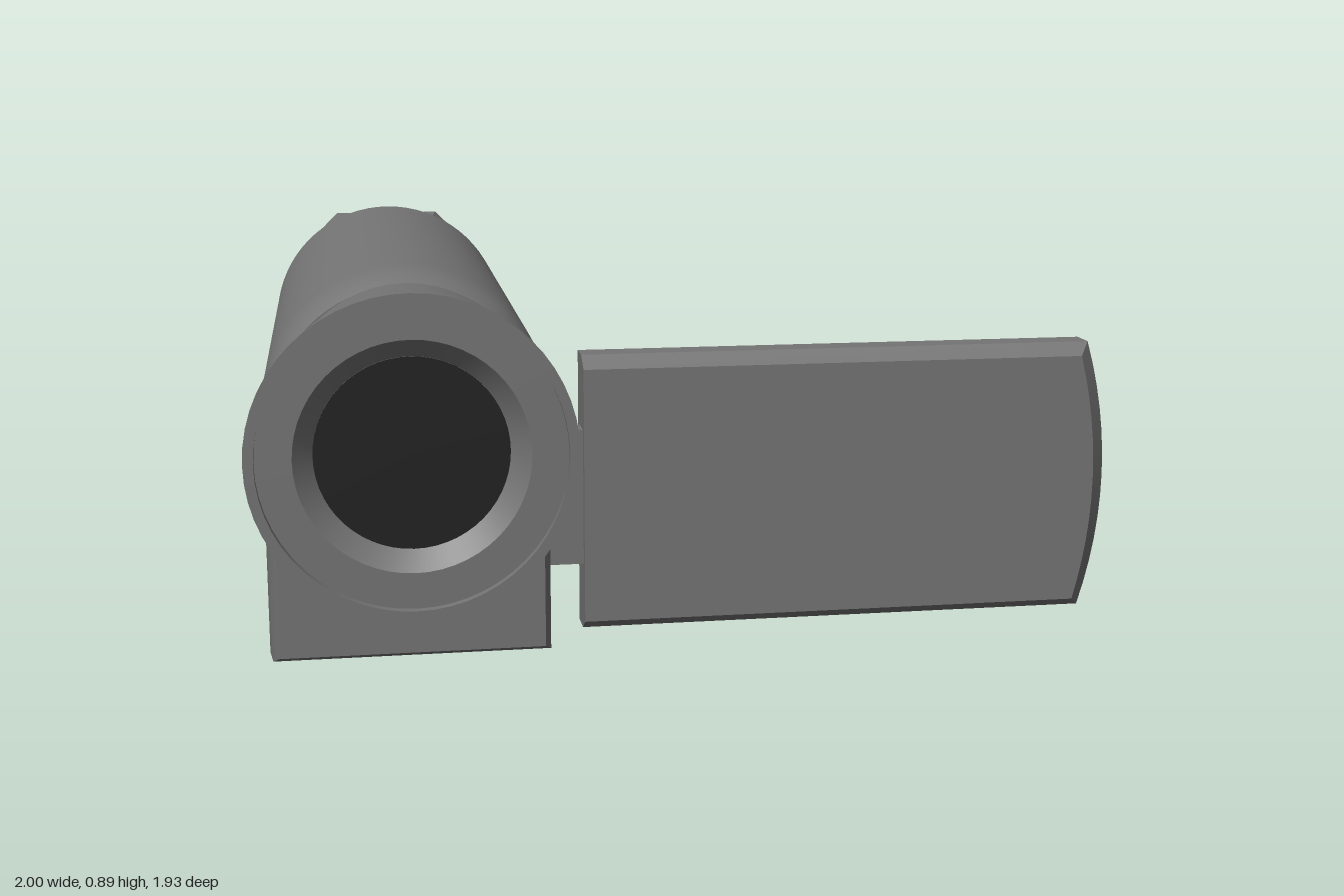
import * as THREE from 'three';
import { toCreasedNormals } from 'three/addons/utils/BufferGeometryUtils.js';

const CX = -0.65; // centre line of the camera body

const shell = new THREE.MeshStandardMaterial({ color: 0x747474 });
shell.name = 'greyShell';
const black = new THREE.MeshStandardMaterial({ color: 0x202020 });
black.name = 'blackGlass';

// Closed loop: right half from bottom to top, then left half from top to bottom
const loop = (right, left) => [...right, ...left.slice().reverse()];
const mirrorLoop = (right) => loop(right, right.map(([x, y, z]) => [2 * CX - x, y, z]));

// Skin over loops ordered front to back, with optional end caps
function loft(rings, capFront, capBack) {
  const m = rings[0].length, idx = [];
  for (let r = 0; r + 1 < rings.length; r++) {
    for (let k = 0; k < m; k++) {
      const a = r * m + k, b = r * m + (k + 1) % m;
      idx.push(a, a + m, b, b, a + m, b + m);
    }
  }
  const cap = (o, flip) => {
    for (let k = 0; k + 1 < m / 2; k++) {
      const R = o + k, L = o + m - 1 - k;
      if (flip) idx.push(R, L, R + 1, R + 1, L, L - 1);
      else idx.push(R, R + 1, L, R + 1, L - 1, L);
    }
  };
  if (capFront) cap(0, false);
  if (capBack) cap((rings.length - 1) * m, true);
  const g = new THREE.BufferGeometry();
  g.setAttribute('position', new THREE.Float32BufferAttribute(rings.flat(2), 3));
  g.setIndex(idx);
  return toCreasedNormals(g, 0.42);
}

function add(group, name, geometry, material, x = 0, y = 0, z = 0) {
  const mesh = new THREE.Mesh(geometry, material);
  mesh.name = name;
  mesh.position.set(x, y, z);
  group.add(mesh);
  return mesh;
}

// Body cross-section: flat bottom, straight sides, round top, optional side recess
function bodyRing(inset, zOf, recessed) {
  const R = 0.325, cy = 0.565, lo = 0.07, hi = 0.68, floorX = CX + 0.297;
  const r = R - inset, t = Math.asin((hi - cy) / R);
  const pts = [];
  const put = (x, y, cut) => pts.push([CX + x, y, cut]);
  put(r, inset);
  put(r, lo);
  for (const y of [lo, 0.12, 0.18, 0.24, 0.3, 0.36, 0.42, 0.5]) put(r, y, true);
  for (let i = 0; i <= 4; i++) put(r * Math.cos(t * i / 4), cy + r * Math.sin(t * i / 4), true);
  for (let i = 0; i <= 14; i++) {
    const a = t + (Math.PI / 2 - t) * i / 14;
    put(r * Math.cos(a), cy + r * Math.sin(a));
  }
  const left = pts.map(([x, y]) => [2 * CX - x, y, zOf(y)]);
  const right = pts.map(([x, y, cut]) => [recessed && cut ? floorX : x, y, zOf(y)]);
  return loop(right, left);
}

function buildBody() {
  const at = (z) => () => z;
  // The back leans forward towards the bottom
  const back = (y) => -0.84 + 0.115 * Math.pow(Math.max(0, 0.42 - y) / 0.42, 1.8);
  return loft([
    bodyRing(0.025, at(0.69)),
    bodyRing(0.01, at(0.66)),
    bodyRing(0, at(0.56)),
    bodyRing(0, at(0.54)),
    bodyRing(0, at(0.54), true),
    bodyRing(0, at(-0.62), true),
    bodyRing(0, at(-0.62)),
    bodyRing(0, (y) => back(y) + 0.03),
    bodyRing(0.03, back),
  ], true, true);
}

function buildLens() {
  const ring = ([rx, ry, z]) => {
    const half = [];
    for (let i = 0; i <= 28; i++) {
      const a = -Math.PI / 2 + Math.PI * i / 28;
      half.push([CX + rx * Math.cos(a), 0.535 + ry * Math.sin(a), z]);
    }
    return mirrorLoop(half);
  };
  return loft([
    [0.208, 0.208, 0.9], [0.25, 0.25, 0.945], [0.328, 0.328, 0.945],
    [0.328, 0.328, 0.965], [0.35, 0.35, 0.965], [0.297, 0.333, 0.685],
  ].map(ring), true, true);
}

// Rectangle whose right end may bulge outwards
function panelRing(x0, x1, y0, y1, bulge, z) {
  const right = [], left = [];
  for (let i = 0; i <= 12; i++) {
    const u = i / 6 - 1, y = y0 + (y1 - y0) * i / 12;
    right.push([x1 + bulge * (1 - u * u), y, z]);
    left.push([x0, y, z]);
  }
  return loop(right, left);
}

function buildEyepiece(group) {
  const cy = 0.717, slope = 0.09;
  const ring = (w, h, c, z, tilt = slope) => mirrorLoop(
    [[w - c, -h], [w, c - h], [w, h - c], [w - c, h]].map(([x, y]) => [CX + x, cy + y, z + tilt * y]));
  add(group, 'eyepiece', loft([
    ring(0.162, 0.132, 0.04, -0.815, 0),
    ring(0.19, 0.143, 0.045, -0.948),
    ring(0.15, 0.105, 0.035, -0.948),
    ring(0.14, 0.096, 0.03, -0.925),
    ring(0.075, 0.056, 0.002, -0.925),
    ring(0.058, 0.042, 0.002, -0.9),
  ], false, true), shell);
  const glass = add(group, 'eyepieceGlass', new THREE.BoxGeometry(0.112, 0.08, 0.006), black, CX, cy, -0.902);
  glass.rotation.x = Math.atan(slope);
}

export function createModel() {
  const model = new THREE.Group();
  model.name = 'camcorder';

  add(model, 'body', buildBody(), shell);
  add(model, 'lensBarrel', buildLens(), shell);
  add(model, 'lensGlass', new THREE.CircleGeometry(0.208, 56), black, CX, 0.535, 0.903);
  buildEyepiece(model);

  // Fold-out display with a sunken screen facing backwards
  const display = new THREE.Group();
  display.name = 'foldOutDisplay';
  add(display, 'displayCase', loft([
    panelRing(-0.255, 0.92, 0.067, 0.658, 0.04, 0.655),
    panelRing(-0.255, 0.95, 0.04, 0.685, 0.05, 0.61),
    panelRing(-0.255, 0.95, 0.04, 0.685, 0.05, 0.545),
    panelRing(-0.205, 0.9, 0.088, 0.637, 0, 0.545),
    panelRing(-0.185, 0.88, 0.108, 0.617, 0, 0.575),
  ], true, true), shell);
  add(display, 'screen', new THREE.BoxGeometry(1.065, 0.509, 0.006), black, 0.3475, 0.3625, 0.575);
  add(display, 'hinge', new THREE.BoxGeometry(0.09, 0.315, 0.06), shell, -0.295, 0.358, 0.605);
  model.add(display);

  return model;
}
